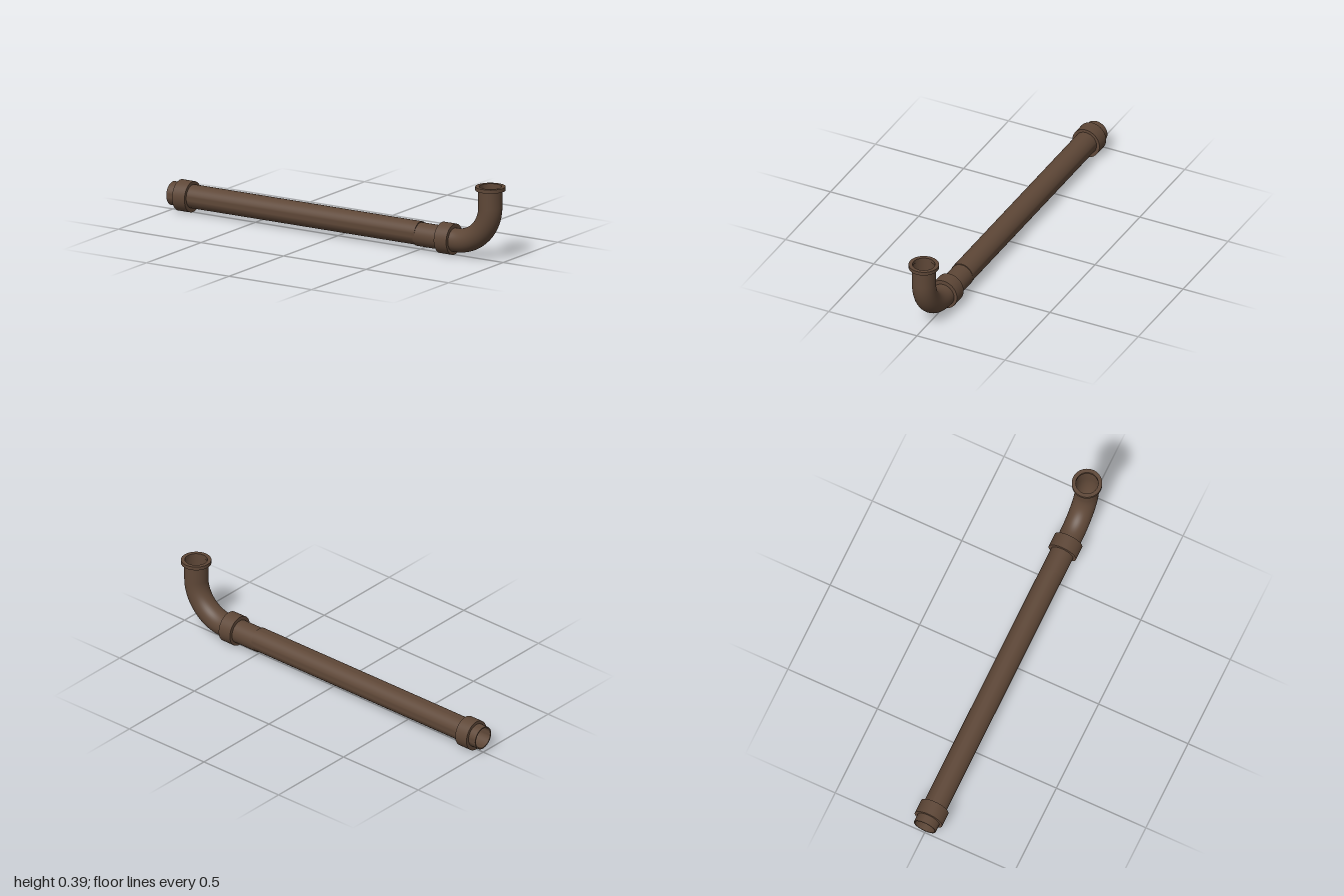
import * as THREE from 'three';
import { toCreasedNormals } from 'three/addons/utils/BufferGeometryUtils.js';

const material = new THREE.MeshStandardMaterial({ color: 0x5e4737, side: THREE.DoubleSide });

// Hollow ring of rectangular section around the y axis, from y = 0 to y = length
function ring(name, inner, outer, length) {
  const profile = [[inner, 0], [outer, 0], [outer, length], [inner, length], [inner, 0]]
    .map(([r, y]) => new THREE.Vector2(r, y));
  const mesh = new THREE.Mesh(toCreasedNormals(new THREE.LatheGeometry(profile, 40), 0.7), material);
  mesh.name = name;
  return mesh;
}

// Ring laid along +x, starting at the given x
function layAlongX(mesh, x, y) {
  mesh.rotation.z = -Math.PI / 2;
  mesh.position.set(x, y, 0);
  return mesh;
}

export function createModel() {
  const group = new THREE.Group();
  group.name = 'pipe';

  // Long straight pipe, open at its free end
  group.add(layAlongX(ring('straightPipe', 0.055, 0.061, 1.5), -1, 0.083));

  // Sleeve couplings
  for (const [name, x] of [['endCollar', -0.955], ['elbowCollar', 0.63]]) {
    const collar = layAlongX(ring(name, 0.056, 0.077, 0.075), x, 0.08);
    collar.scale.x = 0.08 / 0.077; // slightly taller than deep
    group.add(collar);
  }

  // Elbow: straight stub, quarter bend, upright
  const v = (x, y) => new THREE.Vector3(x, y, 0);
  const path = new THREE.CurvePath();
  path.add(new THREE.LineCurve3(v(0.49, 0.078), v(0.72, 0.078)));
  path.add(new THREE.CubicBezierCurve3(v(0.72, 0.078), v(0.83, 0.078), v(0.922, 0.168), v(0.922, 0.278)));
  path.add(new THREE.LineCurve3(v(0.922, 0.278), v(0.922, 0.38)));
  const elbow = new THREE.Mesh(new THREE.TubeGeometry(path, 56, 0.061, 40), material);
  elbow.name = 'elbow';
  group.add(elbow);

  // Flange round the open mouth of the elbow
  const flange = ring('flange', 0.057, 0.077, 0.019);
  flange.position.set(0.923, 0.367, 0);
  group.add(flange);

  return group;
}
